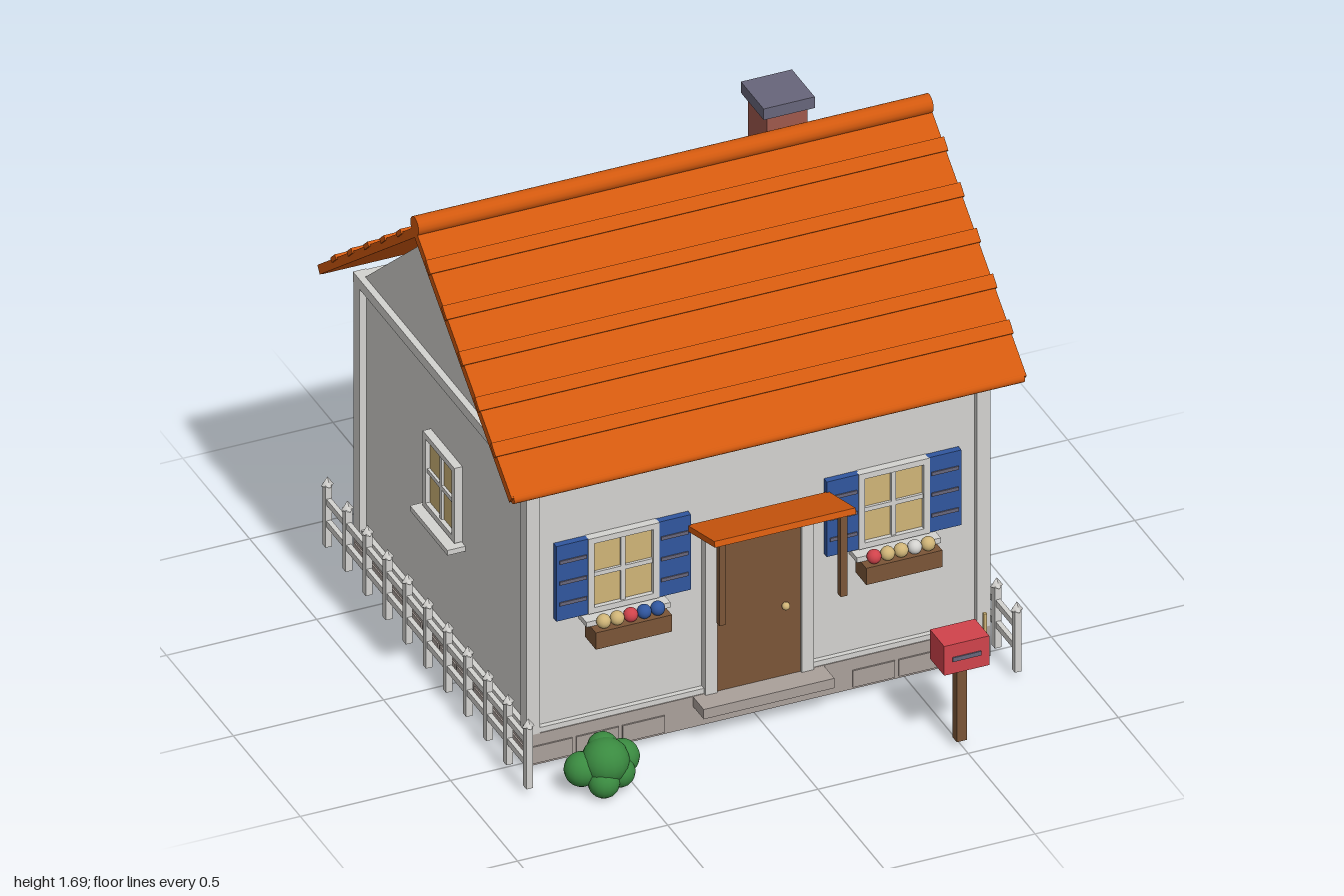
import * as THREE from 'three';

const mat = (name, color) => Object.assign(new THREE.MeshStandardMaterial({ color }), { name });

export function createModel() {
  const light = mat('offWhite', 0xd3d2cf), stone = mat('foundationStone', 0xaaa09a),
    orange = mat('roofOrange', 0xd2590e), brown = mat('wood', 0x7a5537),
    blue = mat('blue', 0x30569e), tan = mat('warmGlass', 0xcfb477),
    red = mat('red', 0xd0434b), green = mat('leaf', 0x3a8a40),
    brick = mat('brick', 0x9e584c), slate = mat('slate', 0x67657a);

  const root = new THREE.Group();
  const house = new THREE.Group();
  house.name = 'house';
  house.position.z = -0.09;
  root.add(house);

  const add = (parent, name, geo, m, x = 0, y = 0, z = 0) => {
    const mesh = new THREE.Mesh(geo, m);
    mesh.name = name;
    mesh.position.set(x, y, z);
    parent.add(mesh);
    return mesh;
  };
  const box = (parent, name, m, w, h, d, x, y, z) =>
    add(parent, name, new THREE.BoxGeometry(w, h, d), m, x, y, z);
  const ball = (parent, name, m, r, x, y, z) =>
    add(parent, name, new THREE.SphereGeometry(r, 16, 12), m, x, y, z);
  const group = (parent, name, x = 0, y = 0, z = 0, ry = 0) => {
    const g = new THREE.Group();
    g.name = name;
    g.position.set(x, y, z);
    g.rotation.y = ry;
    parent.add(g);
    return g;
  };

  // Foundation with a course of slightly raised stones
  box(house, 'foundation', stone, 1.545, 0.11, 1.29, 0, 0.085, 0);
  for (let i = 0; i < 10; i++) {
    const x = -0.69 + i * 0.1533;
    if (Math.abs(x) > 0.25) box(house, 'frontStone', stone, 0.14, 0.06, 0.01, x, 0.068, 0.645);
    const z = -0.576 + i * 0.128;
    for (const s of [-1, 1]) box(house, 'sideStone', stone, 0.01, 0.06, 0.115, s * 0.772, 0.068, z);
  }

  // Walls, gable, corner posts and trim
  box(house, 'walls', light, 1.5, 0.92, 1.25, 0, 0.6, 0);
  const tri = new THREE.Shape([[-0.61, 0], [0.61, 0], [0, 0.525]].map(p => new THREE.Vector2(...p)));
  const gable = new THREE.ExtrudeGeometry(tri, { depth: 1.5, bevelEnabled: false });
  gable.translate(0, 0, -0.75).rotateY(Math.PI / 2);
  add(house, 'gable', gable, light, 0, 1.06, 0);
  for (const s of [-1, 1]) {
    for (const t of [-1, 1])
      box(house, 'cornerPost', light, 0.045, 0.9, 0.045, s * 0.75, 0.59, t * 0.623);
    box(house, 'sideBeam', light, 0.045, 0.035, 1.3, s * 0.75, 1.045, 0);
    box(house, 'sideBaseboard', light, 0.03, 0.018, 1.21, s * 0.752, 0.149, 0);
    box(house, 'endBeam', light, 1.54, 0.035, 0.045, 0, 1.045, s * 0.623);
    box(house, 'endBaseboard', light, 1.46, 0.018, 0.03, 0, 0.149, s * 0.627);
  }

  // Two roof slopes with shingle strips and a rounded eave
  for (const t of [0, Math.PI]) {
    const turn = group(house, 'roofSide', 0, 1.622, 0, t);
    const slope = group(turn, 'roofSlope');
    slope.rotation.x = 0.655;
    box(slope, 'roofPanel', orange, 1.714, 0.03, 0.915, 0, -0.015, 0.4575);
    for (let i = 1; i <= 5; i++) {
      const strip = box(slope, 'shingleStrip', orange, 1.724, 0.016, 0.045, 0, 0, i * 0.154 - 0.018);
      strip.rotation.x = 0.1;
    }
    add(slope, 'eave', new THREE.CylinderGeometry(0.016, 0.016, 1.7, 12), orange, 0, -0.015, 0.912)
      .rotation.z = Math.PI / 2;
  }
  add(house, 'ridge', new THREE.CylinderGeometry(0.031, 0.031, 1.714, 16), orange, 0, 1.626, 0)
    .rotation.z = Math.PI / 2;

  // Chimney
  box(house, 'chimney', brick, 0.135, 0.36, 0.14, 0.42, 1.48, -0.152);
  box(house, 'chimneyCap', slate, 0.17, 0.04, 0.17, 0.42, 1.68, -0.152);

  // Windows on all four walls, the front pair with shutters and flower boxes
  const makeWindow = (x, z, ry) => {
    const g = group(house, 'window', x, 0.665, z, ry);
    box(g, 'glass', tan, 0.21, 0.25, 0.008, 0, 0, 0.008);
    for (const s of [-1, 1]) {
      box(g, 'frameSide', light, 0.02, 0.27, 0.03, s * 0.108, 0, 0.012);
      box(g, 'frameRail', light, 0.236, 0.02, 0.03, 0, s * 0.125, 0.012);
    }
    box(g, 'mullion', light, 0.015, 0.24, 0.018, 0, 0, 0.012);
    box(g, 'crossbar', light, 0.2, 0.015, 0.018, 0, 0, 0.012);
    box(g, 'sill', light, 0.28, 0.018, 0.06, 0, -0.148, 0.03);
    return g;
  };
  makeWindow(0, -0.625, Math.PI);
  makeWindow(0.75, 0, Math.PI / 2);
  makeWindow(-0.75, 0, -Math.PI / 2);
  const blooms = [[tan, tan, red, blue, blue], [red, tan, tan, light, tan]];
  [-0.45, 0.45].forEach((x, n) => {
    const g = makeWindow(x, 0.625, 0);
    for (const s of [-1, 1]) {
      box(g, 'shutter', blue, 0.11, 0.27, 0.022, s * 0.169, 0, 0.013);
      for (const y of [-0.075, 0, 0.075])
        box(g, 'shutterSlat', slate, 0.09, 0.012, 0.008, s * 0.169, y, 0.024);
    }
    box(g, 'flowerBox', brown, 0.253, 0.06, 0.08, 0, -0.187, 0.06);
    blooms[n].forEach((m, i) => {
      const fx = (i - 2) * 0.045;
      add(g, 'stem', new THREE.CylinderGeometry(0.005, 0.005, 0.04, 8), green, fx, -0.15, 0.076);
      ball(g, 'flower', m, 0.023, fx, -0.137, 0.076);
    });
  });

  // Door, frame, knob and step
  box(house, 'door', brown, 0.28, 0.53, 0.03, 0, 0.405, 0.632);
  for (const s of [-1, 1]) box(house, 'doorJamb', light, 0.04, 0.56, 0.04, s * 0.16, 0.42, 0.635);
  box(house, 'doorLintel', light, 0.36, 0.06, 0.04, 0, 0.7, 0.635);
  ball(house, 'doorKnob', tan, 0.013, 0.086, 0.395, 0.658);
  box(house, 'doorStep', stone, 0.435, 0.035, 0.1, 0, 0.122, 0.675);

  // Canopy tilting up outward on two hanging posts
  box(house, 'canopy', orange, 0.47, 0.02, 0.21, 0, 0.779, 0.745).rotation.x = -0.28;
  for (const s of [-1, 1]) box(house, 'canopyPost', brown, 0.022, 0.29, 0.022, s * 0.202, 0.645, 0.82);

  // Picket fences along both sides
  for (const s of [-1, 1]) {
    const fence = group(root, 'fence', s * 0.813, 0, -0.09);
    for (const y of [0.115, 0.193]) box(fence, 'fenceRail', light, 0.016, 0.022, 1.5, 0, y, 0);
    for (let i = 0; i < 11; i++) {
      const z = (i - 5) * 0.15;
      box(fence, 'picket', light, 0.022, 0.22, 0.024, 0, 0.14, z);
      add(fence, 'picketTip', new THREE.ConeGeometry(0.021, 0.03, 4), light, 0, 0.262, z);
    }
  }

  // Mailbox
  const mail = group(root, 'mailbox', 0.497, 0, 0.943);
  box(mail, 'mailboxPost', brown, 0.034, 0.28, 0.034, 0, 0.17, 0);
  box(mail, 'mailboxBody', red, 0.15, 0.105, 0.106, 0, 0.358, 0);
  box(mail, 'mailSlot', slate, 0.095, 0.015, 0.008, 0, 0.357, 0.053);
  box(mail, 'mailFlag', tan, 0.01, 0.11, 0.012, 0.085, 0.403, -0.002);

  // Flower bed behind the house
  const bed = group(root, 'flowerBed');
  box(bed, 'bedBox', brown, 0.68, 0.042, 0.175, -0.315, 0.055, -0.912);
  const flowers = [
    [blue, -0.57, -0.925], [light, -0.49, -0.965], [light, -0.447, -0.96], [red, -0.375, -0.97],
    [light, -0.138, -0.96], [light, -0.486, -0.92], [blue, -0.475, -0.865], [red, -0.328, -0.863],
    [blue, -0.308, -0.873], [light, -0.127, -0.875],
  ];
  for (const [m, x, z] of flowers) {
    add(bed, 'stem', new THREE.CylinderGeometry(0.006, 0.006, 0.09, 8), green, x, 0.115, z);
    ball(bed, 'flower', m, 0.023, x, 0.162, z);
  }

  // Bush
  const bush = group(root, 'bush');
  const leaves = [
    [0.075, -0.59, 0.11, 0.735], [0.055, -0.662, 0.09, 0.72], [0.055, -0.523, 0.095, 0.71],
    [0.05, -0.61, 0.058, 0.77], [0.05, -0.582, 0.135, 0.7], [0.05, -0.55, 0.07, 0.75],
  ];
  for (const [r, x, y, z] of leaves) ball(bush, 'leafClump', green, r, x, y, z);

  return root;
}
